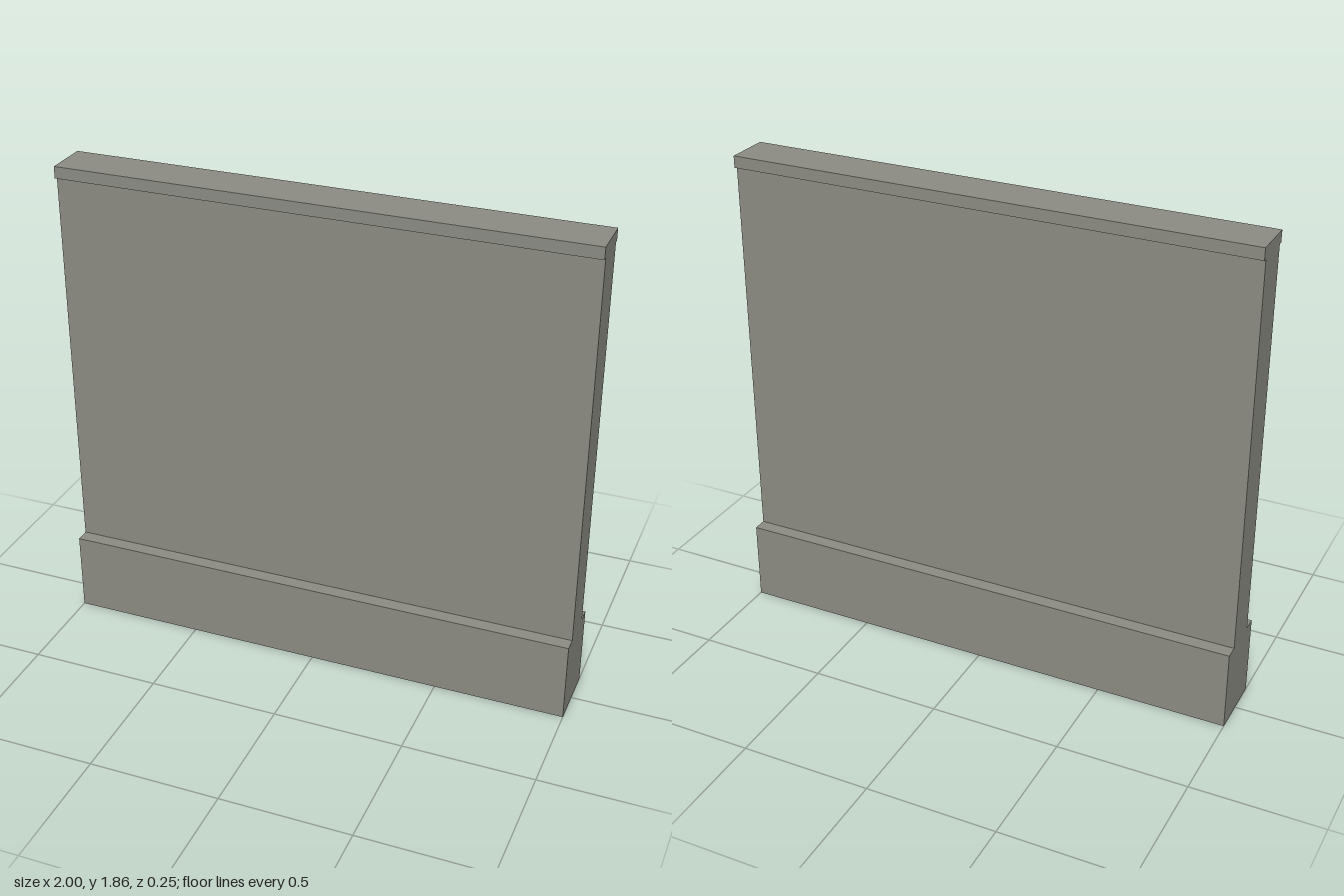
import * as THREE from 'three';

export function createModel() {
  const group = new THREE.Group();
  group.name = 'wallPanel';
  const concrete = new THREE.MeshStandardMaterial({ color: 0x8b8b83 });
  concrete.name = 'concrete grey';

  // Half profile as [half depth, height]: plinth, wall, coping
  const half = [
    [0.125, 0], [0.125, 0.312],
    [0.072, 0.312], [0.072, 1.817],
    [0.087, 1.817], [0.087, 1.862],
  ];
  const mirrored = half.map(([d, y]) => [-d, y]).reverse();
  const profile = new THREE.Shape([...half, ...mirrored].map(([d, y]) => new THREE.Vector2(d, y)));

  // Sweep the profile along the length of the wall
  const geometry = new THREE.ExtrudeGeometry(profile, { depth: 2, bevelEnabled: false });
  geometry.translate(0, 0, -1);
  geometry.rotateY(Math.PI / 2);

  const wall = new THREE.Mesh(geometry, concrete);
  wall.name = 'wallWithPlinthAndCoping';
  group.add(wall);
  return group;
}
